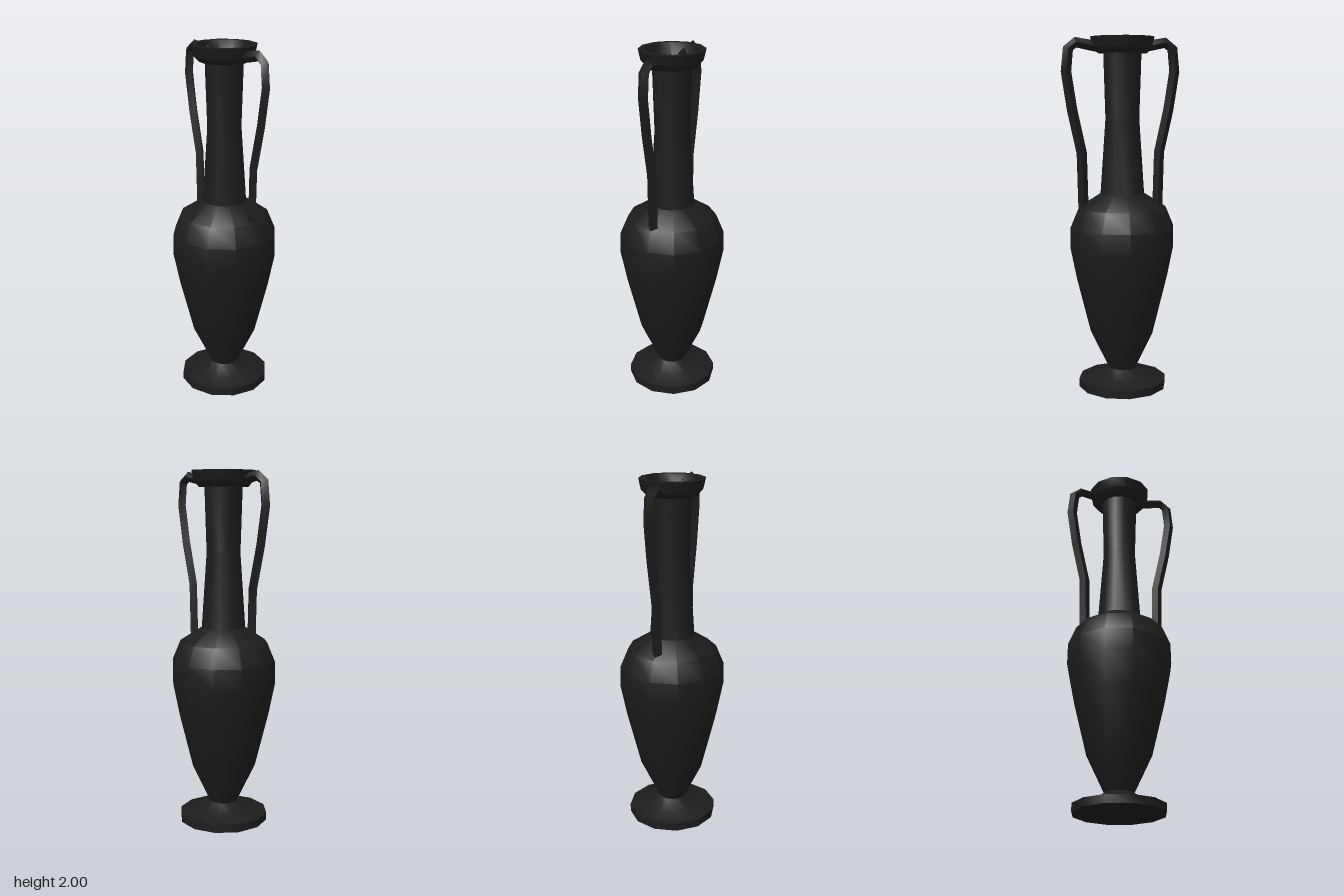
import * as THREE from 'three';
import { toCreasedNormals } from 'three/addons/utils/BufferGeometryUtils.js';

const SIDES = 12;
const CREASE = 0.62; // keeps the 12-sided wall smooth, rim and foot edges sharp

function lathe(name, profile, material) {
  const points = profile.map(([r, y]) => new THREE.Vector2(r, y));
  const geometry = toCreasedNormals(new THREE.LatheGeometry(points, SIDES), CREASE);
  const mesh = new THREE.Mesh(geometry, material);
  mesh.name = name;
  mesh.position.x = -0.01;
  return mesh;
}

// Diamond-section bar swept along a path in the xy plane, mitred at each bend
function handleGeometry(path, radius) {
  const pts = path.map(([x, y]) => new THREE.Vector2(x, y));
  const last = pts.length - 1;
  const positions = [];
  const index = [];
  pts.forEach((p, i) => {
    const a = pts[Math.max(i - 1, 0)], b = pts[Math.min(i + 1, last)];
    const t = b.clone().sub(a).normalize();
    for (let k = 0; k < 4; k++) {
      const angle = (k * Math.PI) / 2;
      const n = Math.cos(angle) * radius;
      positions.push(p.x - t.y * n, p.y + t.x * n, Math.sin(angle) * radius);
    }
  });
  for (let i = 0; i < last; i++) {
    for (let k = 0; k < 4; k++) {
      const a = i * 4 + k, b = i * 4 + ((k + 1) % 4);
      index.push(a, b, b + 4, a, b + 4, a + 4);
    }
  }
  const e = last * 4;
  index.push(0, 2, 1, 0, 3, 2, e, e + 1, e + 2, e, e + 2, e + 3);
  const geometry = new THREE.BufferGeometry();
  geometry.setAttribute('position', new THREE.Float32BufferAttribute(positions, 3));
  geometry.setIndex(index);
  return toCreasedNormals(geometry, CREASE);
}

export function createModel() {
  const group = new THREE.Group();
  group.name = 'amphora';
  const clay = new THREE.MeshStandardMaterial({ color: 0x1c1c1c, side: THREE.DoubleSide });

  // Stepped disc foot
  group.add(lathe('foot', [
    [0, 0], [0.254, 0], [0.254, 0.045], [0.155, 0.062], [0.08, 0.11],
  ], clay));

  // Swelling body up to the shoulder
  group.add(lathe('body', [
    [0.08, 0.11], [0.185, 0.33], [0.262, 0.64], [0.298, 0.82],
    [0.296, 0.94], [0.25, 1.05], [0.125, 1.13],
  ], clay));

  // Slender neck
  group.add(lathe('neck', [
    [0.125, 1.13], [0.096, 1.55], [0.107, 1.91],
  ], clay));

  // Flared rim
  group.add(lathe('rim', [
    [0.107, 1.91], [0.138, 1.91], [0.167, 1.94], [0.18, 2],
    [0.147, 2], [0.13, 1.94], [0.101, 1.91],
  ], clay));

  // Hollow inside, from the mouth down to the floor
  group.add(lathe('interior', [
    [0.101, 1.91], [0.09, 1.55], [0.117, 1.13], [0.24, 1.04], [0.286, 0.93],
    [0.286, 0.82], [0.25, 0.64], [0.172, 0.33], [0.07, 0.14], [0, 0.12],
  ], clay));

  // Pair of tall handles from rim to shoulder
  const path = [
    [0.13, 1.945], [0.18, 1.955], [0.25, 1.968], [0.292, 1.935],
    [0.304, 1.81], [0.272, 1.6], [0.22, 1.36], [0.212, 1.04],
  ];
  for (const side of [1, -1]) {
    const handle = new THREE.Mesh(handleGeometry(path, 0.029), clay);
    handle.name = side > 0 ? 'leftHandle' : 'rightHandle';
    if (side < 0) handle.rotation.y = Math.PI;
    group.add(handle);
  }
  return group;
}
